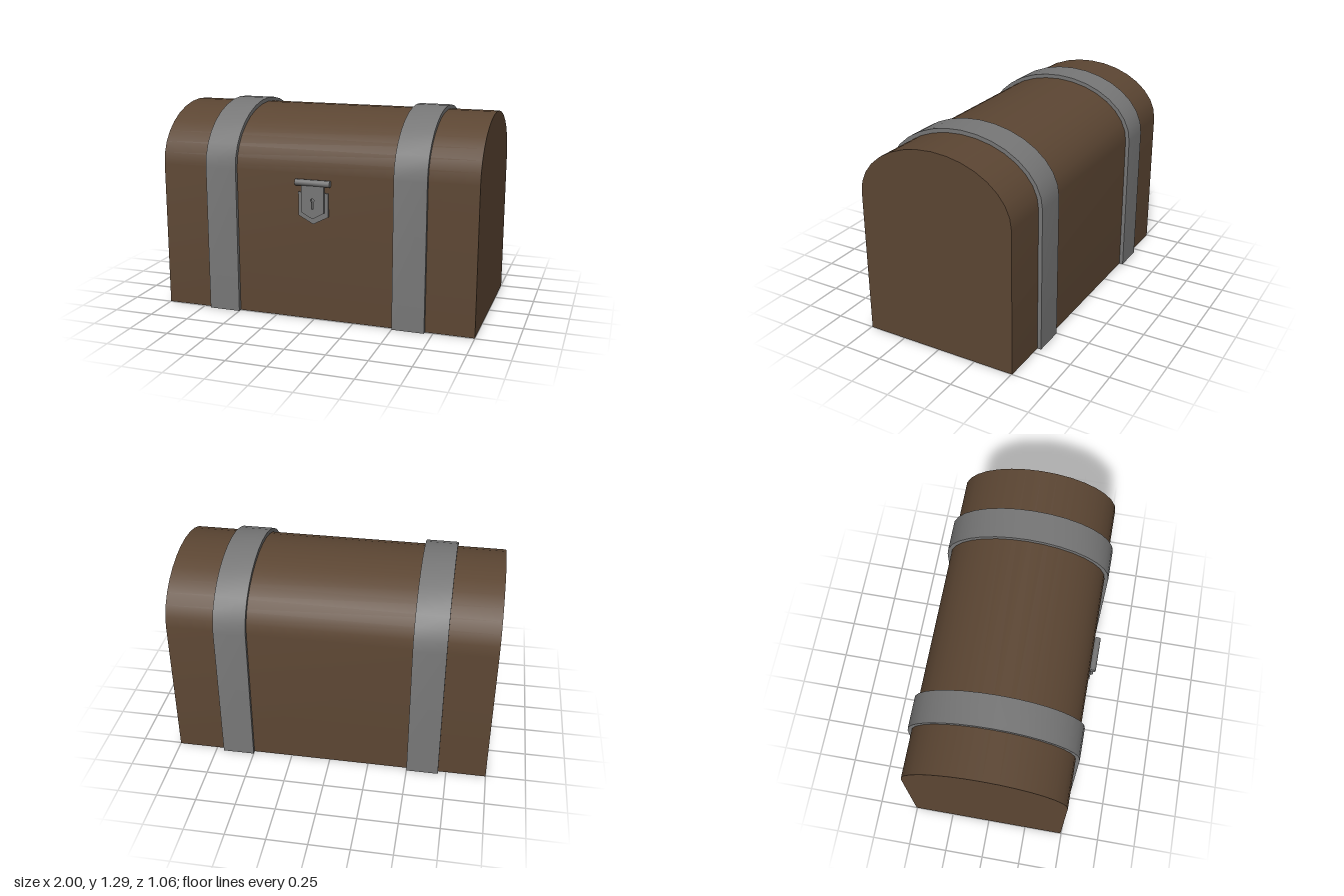
import * as THREE from 'three';
import { toCreasedNormals } from 'three/addons/utils/BufferGeometryUtils.js';

const wood = new THREE.MeshStandardMaterial({ color: 0x5c4633 });
const metal = new THREE.MeshStandardMaterial({ color: 0x777777 });
const SPRING = 0.92; // height where the arched lid begins
const CENTRE_Z = -0.005;

// Upright sides with a half-ellipse on top, from bottom right to bottom left
function archPoints(halfDepth, rise, segments = 16) {
  const points = [new THREE.Vector2(halfDepth, 0)];
  for (let i = 0; i <= segments; i++) {
    const a = (i / segments) * Math.PI;
    points.push(new THREE.Vector2(halfDepth * Math.cos(a), SPRING + rise * Math.sin(a)));
  }
  points.push(new THREE.Vector2(-halfDepth, 0));
  return points;
}

function extrude(shape, depth) {
  const geometry = new THREE.ExtrudeGeometry(shape, { depth, bevelEnabled: false, curveSegments: 6 });
  return toCreasedNormals(geometry, 0.5);
}

// Extrusion running along x, centred on x
function alongX(points, width, material, name, x = 0) {
  const geometry = extrude(new THREE.Shape(points), width);
  geometry.translate(0, 0, -width / 2).rotateY(Math.PI / 2);
  const mesh = new THREE.Mesh(geometry, material);
  mesh.position.set(x, 0, CENTRE_Z);
  mesh.name = name;
  return mesh;
}

// Plate with a pointed lower edge
function shield(halfWidth, top, shoulder, tip) {
  return new THREE.Shape([
    new THREE.Vector2(-halfWidth, top),
    new THREE.Vector2(-halfWidth, shoulder),
    new THREE.Vector2(0, tip),
    new THREE.Vector2(halfWidth, shoulder),
    new THREE.Vector2(halfWidth, top),
  ]);
}

function plate(shape, z, depth, name) {
  const mesh = new THREE.Mesh(extrude(shape, depth), metal);
  mesh.position.z = z;
  mesh.name = name;
  return mesh;
}

export function createModel() {
  const chest = new THREE.Group();
  chest.name = 'chest';

  // Wooden body with its arched lid
  const inner = archPoints(0.5, 0.35);
  chest.add(alongX(inner, 2, wood, 'body'));

  // Metal straps wrapped over the body
  const strap = [...archPoints(0.525, 0.375), ...inner.slice().reverse()];
  for (const side of [-1, 1]) {
    chest.add(alongX(strap, 0.2, metal, side > 0 ? 'leftStrap' : 'rightStrap', side * 0.6));
  }

  // Latch: lock plate, hasp with keyhole, hinge bar
  const latch = new THREE.Group();
  latch.name = 'latch';
  latch.add(plate(shield(0.095, 0.805, 0.66, 0.61), 0.49, 0.017, 'lockPlate'));

  const haspShape = shield(0.072, 0.86, 0.685, 0.645);
  const keyhole = new THREE.Path();
  keyhole.moveTo(-0.006, 0.705);
  keyhole.lineTo(0.006, 0.705);
  keyhole.lineTo(0.006, 0.75);
  keyhole.absarc(0, 0.76, 0.0117, -Math.PI * 0.33, Math.PI * 1.33, false);
  keyhole.lineTo(-0.006, 0.705);
  haspShape.holes.push(keyhole);
  latch.add(plate(haspShape, 0.507, 0.016, 'hasp'));

  const bar = new THREE.Mesh(
    toCreasedNormals(new THREE.CylinderGeometry(0.02, 0.02, 0.22, 10).rotateZ(Math.PI / 2), 0.8),
    metal
  );
  bar.position.set(0, 0.865, 0.513);
  bar.name = 'hingeBar';
  latch.add(bar);
  chest.add(latch);

  return chest;
}
